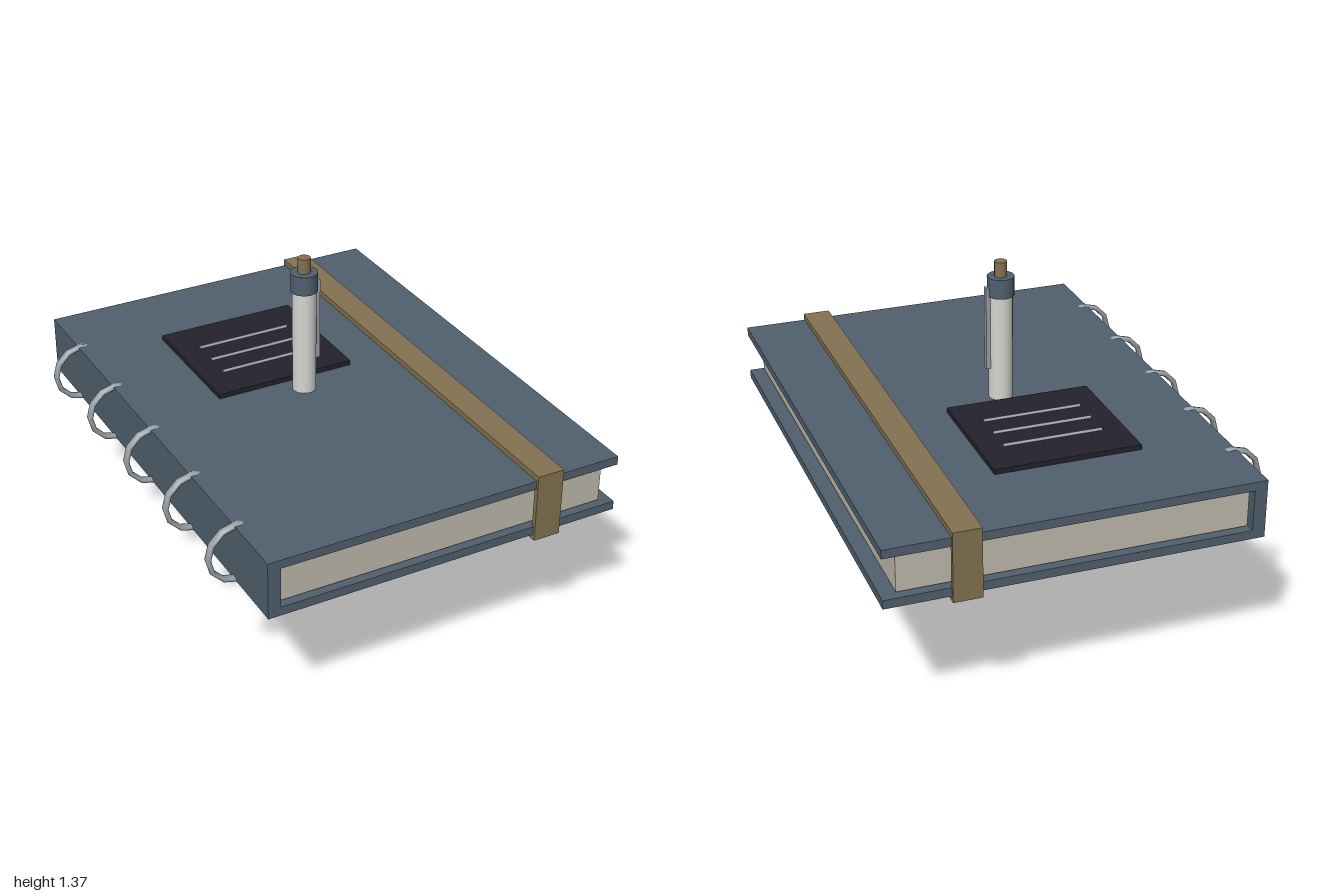
import * as THREE from 'three';

const mat = (name, color) => {
  const m = new THREE.MeshStandardMaterial({ color });
  m.name = name;
  return m;
};

export function createModel() {
  const group = new THREE.Group();
  const slate = mat('slate blue', 0x50606d);
  const paper = mat('paper', 0xc0baac);
  const brass = mat('brass', 0x847250);
  const ink = mat('ink black', 0x23222d);
  const metal = mat('metal', 0x99a1a8);
  const ivory = mat('pen ivory', 0xd6d7d1);

  const add = (parent, name, geo, material, x = 0, y = 0, z = 0) => {
    const mesh = new THREE.Mesh(geo, material);
    mesh.name = name;
    mesh.position.set(x, y, z);
    parent.add(mesh);
    return mesh;
  };
  // Box given by its extents on each axis
  const box = (parent, name, material, [x0, x1], [y0, y1], [z0, z1]) =>
    add(parent, name, new THREE.BoxGeometry(x1 - x0, y1 - y0, z1 - z0), material,
      (x0 + x1) / 2, (y0 + y1) / 2, (z0 + z1) / 2);
  const part = (name) => {
    const g = new THREE.Group();
    g.name = name;
    group.add(g);
    return g;
  };

  // Covers, spine and page block
  const book = part('notebook');
  const depth = [-0.99, 0.99];
  box(book, 'topCover', slate, [-0.67, 0.78], [0.765, 0.8], depth);
  box(book, 'bottomCover', slate, [-0.67, 0.78], [0.567, 0.602], depth);
  box(book, 'spine', slate, [-0.67, -0.62], [0.602, 0.765], depth);
  box(book, 'pages', paper, [-0.61, 0.725], [0.611, 0.755], [-0.965, 0.965]);

  // Elastic band wrapped around the book
  const strap = part('elasticBand');
  const width = [0.42, 0.53];
  box(strap, 'bandTop', brass, width, [0.8, 0.823], [-1, 1]);
  box(strap, 'bandBottom', brass, width, [0.545, 0.567], [-1, 1]);
  box(strap, 'bandFront', brass, width, [0.567, 0.8], [0.98, 1]);
  box(strap, 'bandBack', brass, width, [0.567, 0.8], [-1, -0.98]);

  // Binding rings through the spine
  const rings = part('bindingRings');
  for (let i = -2; i <= 2; i++) {
    const ring = add(rings, 'ring', new THREE.TorusGeometry(0.115, 0.0105, 8, 12), metal,
      -0.656, 0.682, i * 0.362);
    ring.scale.z = 1.7;
  }

  // Label with three ruled lines
  const label = part('label');
  box(label, 'labelPlate', ink, [-0.34, 0.24], [0.8, 0.82], [-0.615, -0.073]);
  for (const z of [-0.447, -0.338, -0.23]) {
    const line = add(label, 'labelLine', new THREE.CylinderGeometry(0.008, 0.008, 0.396, 8), metal,
      -0.052, 0.82, z);
    line.rotation.z = Math.PI / 2;
  }

  // Pen standing through the book
  const pen = part('pen');
  pen.position.x = -0.007;
  const turned = (name, material, rTop, rBottom, y0, y1, sides = 20) =>
    add(pen, name, new THREE.CylinderGeometry(rTop, rBottom, y1 - y0, sides), material, 0, (y0 + y1) / 2, 0);
  turned('penTip', metal, 0.047, 0.007, 0, 0.155);
  turned('penBarrel', ivory, 0.047, 0.047, 0.155, 1.23);
  turned('penCollar', slate, 0.053, 0.053, 1.228, 1.306);
  turned('penButton', brass, 0.025, 0.025, 1.306, 1.366, 12);
  for (const y of [0.338, 0.405, 0.472]) {
    turned('gripRing', slate, 0.052, 0.052, y - 0.0125, y + 0.0125);
  }
  box(pen, 'penClip', metal, [0.042, 0.063], [0.928, 1.264], [-0.012, 0.012]);

  return group;
}
